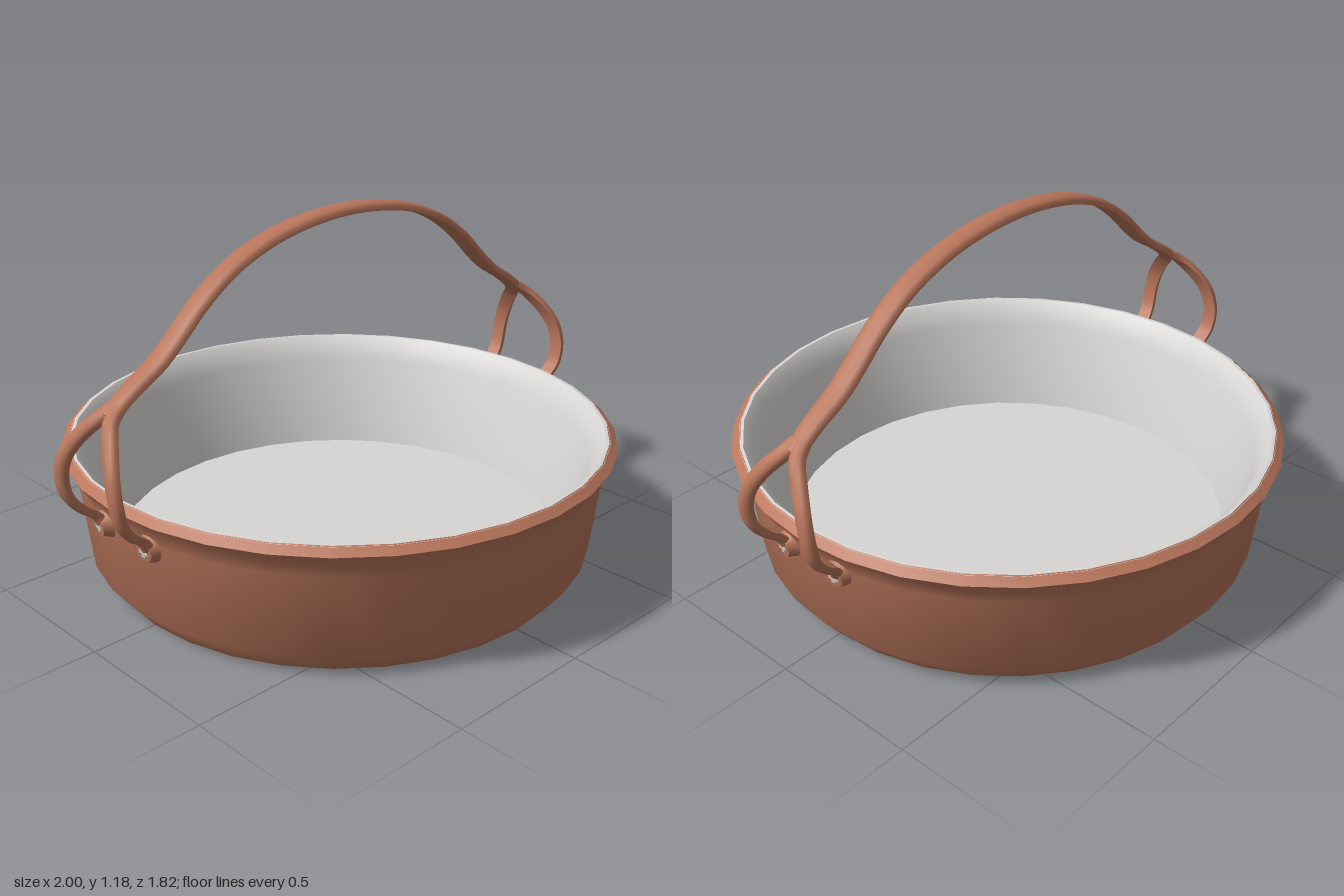
import * as THREE from 'three';
import { toCreasedNormals } from 'three/addons/utils/BufferGeometryUtils.js';

const copper = new THREE.MeshStandardMaterial({ color: 0xb9765b });
copper.name = 'copper';
const tin = new THREE.MeshStandardMaterial({ color: 0xd8d6d4 });
tin.name = 'tin lining';

function mesh(name, geometry, material) {
  const m = new THREE.Mesh(geometry, material);
  m.name = name;
  return m;
}

function lathe(name, profile, material) {
  const points = profile.map(([r, y]) => new THREE.Vector2(r, y));
  return mesh(name, toCreasedNormals(new THREE.LatheGeometry(points, 32), 0.7), material);
}

// Sweeps a flat-bottomed, round-topped strap along a curve running towards +x.
function strap(points, halfWidthAt, halfThick, steps) {
  const curve = new THREE.CatmullRomCurve3(points.map((p) => new THREE.Vector3(...p)));
  const section = [[-1, -1], [-1, 0], [-0.7, 0.75], [0, 1], [0.7, 0.75], [1, 0], [1, -1]];
  const n = section.length;
  const positions = [];
  const index = [];
  for (let i = 0; i <= steps; i++) {
    const u = i / steps;
    const centre = curve.getPointAt(u);
    const tangent = curve.getTangentAt(u);
    const side = new THREE.Vector3(0, 0, 1).addScaledVector(tangent, -tangent.z).normalize();
    const normal = side.clone().cross(tangent);
    for (const [s, t] of section) {
      const p = centre.clone()
        .addScaledVector(side, s * halfWidthAt(u))
        .addScaledVector(normal, t * halfThick);
      positions.push(p.x, p.y, p.z);
    }
    if (i === steps) continue;
    for (let j = 0; j < n; j++) {
      const a = i * n + j;
      const b = i * n + (j + 1) % n;
      index.push(a, b, b + n, a, b + n, a + n);
    }
  }
  // End caps
  const last = steps * n;
  for (let j = 1; j < n - 1; j++) {
    index.push(0, j + 1, j, last, last + j, last + j + 1);
  }
  const g = new THREE.BufferGeometry();
  g.setAttribute('position', new THREE.Float32BufferAttribute(positions, 3));
  g.setIndex(index);
  return toCreasedNormals(g, 0.9);
}

// Round foot riveted to the pan wall, with a small cross-shaped rivet head
function rivetedFoot(z) {
  const foot = new THREE.Group();
  foot.name = 'rivetedFoot';
  const pad = new THREE.CylinderGeometry(0.032, 0.048, 0.03, 12);
  foot.add(mesh('pad', toCreasedNormals(pad, 0.6), copper));
  for (const [w, d] of [[0.034, 0.013], [0.013, 0.034]]) {
    const bar = mesh('rivetCross', new THREE.BoxGeometry(w, 0.004, d), tin);
    bar.position.y = 0.0155;
    foot.add(bar);
  }
  const outward = new THREE.Vector3(0.99, -0.12, z * 1.15).normalize();
  foot.quaternion.setFromUnitVectors(new THREE.Vector3(0, 1, 0), outward);
  foot.position.set(0.868, 0.333, z);
  return foot;
}

// One end of the handle: two curved legs and their feet
function handleFork() {
  const fork = new THREE.Group();
  fork.name = 'handleFork';
  for (const s of [1, -1]) {
    const path = [
      [0.875, 0.745, 0.012], [0.915, 0.715, 0.03], [0.955, 0.655, 0.08], [0.98, 0.59, 0.118],
      [0.985, 0.52, 0.136], [0.97, 0.45, 0.136], [0.93, 0.4, 0.128], [0.89, 0.37, 0.119],
      [0.872, 0.335, 0.111],
    ].map(([x, y, z]) => [x, y, z * s]);
    fork.add(mesh('handleLeg', strap(path, () => 0.025, 0.014, 32), copper));
    fork.add(rivetedFoot(0.111 * s));
  }
  return fork;
}

export function createModel() {
  const model = new THREE.Group();
  model.name = 'copperPan';

  // Pan body with flared rim
  model.add(lathe('panShell', [
    [0, 0], [0.78, 0], [0.835, 0.07], [0.868, 0.35], [0.878, 0.385], [0.908, 0.43], [0.88, 0.453],
  ], copper));

  // Inner wall and floor
  model.add(lathe('panLining', [
    [0.884, 0.4505], [0.87, 0.452], [0.845, 0.425], [0.82, 0.37], [0.74, 0.06], [0, 0.06],
  ], tin));

  // Arched bail handle
  const half = [
    [0.15, 1.158], [0.3, 1.128], [0.45, 1.068], [0.57, 0.985],
    [0.66, 0.9], [0.73, 0.84], [0.82, 0.785], [0.905, 0.722],
  ];
  const arch = [
    ...half.map(([x, y]) => [-x, y, 0]).reverse(),
    [0, 1.168, 0],
    ...half.map(([x, y]) => [x, y, 0]),
  ];
  const taper = (u) => 0.041 - 0.006 * THREE.MathUtils.smoothstep(Math.abs(u - 0.5), 0.38, 0.5);
  model.add(mesh('bailHandle', strap(arch, taper, 0.014, 56), copper));

  // Forked ends on both sides
  const leftFork = handleFork();
  const rightFork = handleFork();
  rightFork.rotation.y = Math.PI;
  model.add(leftFork, rightFork);

  return model;
}
